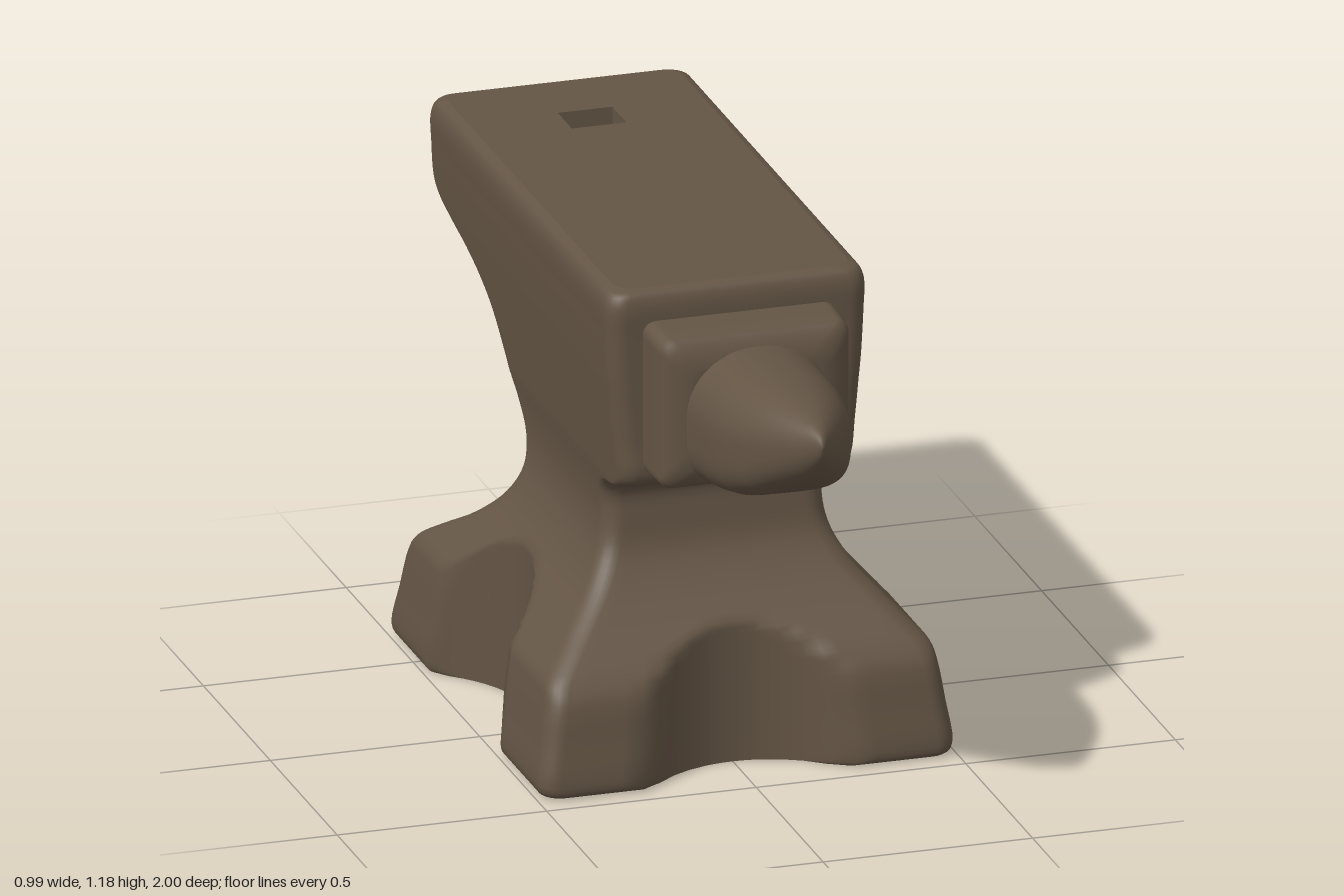
import * as THREE from 'three';

const V = (x, y, z) => new THREE.Vector3(x, y, z);
const HOLE = { x: 0.065, front: -0.675, back: -0.78, yFront: 0.86, yBack: 0.905 };

// Skin over a list of closed rings of equal length; skip(centre) leaves a quad open
function loft(rings, skip = () => false) {
  const n = rings[0].length, index = [];
  for (let i = 0; i < rings.length - 1; i++) {
    for (let j = 0; j < n; j++) {
      const k = (j + 1) % n;
      const mid = V(0, 0, 0);
      [rings[i][j], rings[i][k], rings[i + 1][k], rings[i + 1][j]].forEach(p => mid.addScaledVector(p, 0.25));
      if (skip(mid)) continue;
      const a = i * n + j, b = i * n + k, c = a + n, d = b + n;
      index.push(a, b, d, a, d, c);
    }
  }
  const g = new THREE.BufferGeometry().setFromPoints(rings.flat());
  g.setIndex(index);
  g.computeVertexNormals();
  return g;
}

// Counter-clockwise rounded rectangle, with edge points lined up on the hole sides
function outline(w, v0, v1, r) {
  const pts = [], cut = HOLE.x, e = w - r;
  const xs = [];
  [[-e, -cut], [-cut, cut], [cut, e]].forEach(([a, b]) => {
    for (let i = 0; i < 8; i++) xs.push(THREE.MathUtils.lerp(a, b, i / 8));
  });
  xs.push(e);
  const corner = (cx, cy, start) => {
    for (let i = 1; i < 6; i++) {
      const a = start + (i / 6) * Math.PI / 2;
      pts.push([cx + r * Math.cos(a), cy + r * Math.sin(a)]);
    }
  };
  const side = (x, a, b) => {
    for (let i = 0; i <= 44; i++) pts.push([x, THREE.MathUtils.lerp(a, b, i / 44)]);
  };
  xs.forEach(x => pts.push([x, v0]));
  corner(e, v0 + r, -Math.PI / 2);
  side(w, v0 + r, v1 - r);
  corner(e, v1 - r, 0);
  xs.slice().reverse().forEach(x => pts.push([x, v1]));
  corner(-e, v1 - r, Math.PI / 2);
  side(-w, v1 - r, v0 + r);
  corner(-e, v0 + r, Math.PI);
  return pts;
}

// Circular bite: allowed extent at distance d from the bite's middle
function bite(inner, half, depth, d) {
  if (Math.abs(d) >= half) return Infinity;
  const R = (half * half + depth * depth) / (2 * depth);
  return inner + R - Math.sqrt(R * R - d * d);
}

// Body levels: y, front z, back z, half width
const LEVELS = [
  [0.004, 0.43, -0.69, 0.465], [0.012, 0.45, -0.71, 0.487], [0.035, 0.455, -0.715, 0.495],
  [0.13, 0.442, -0.695, 0.482], [0.22, 0.427, -0.675, 0.468], [0.26, 0.405, -0.648, 0.458],
  [0.3, 0.37, -0.59, 0.425], [0.36, 0.31, -0.495, 0.37], [0.43, 0.252, -0.432, 0.312],
  [0.5, 0.212, -0.41, 0.277], [0.57, 0.2, -0.43, 0.264], [0.64, 0.2, -0.475, 0.268],
  [0.68, 0.245, -0.505, 0.274], [0.7, 0.33, -0.52, 0.277], [0.73, 0.37, -0.54, 0.28],
  [0.81, 0.372, -0.605, 0.288], [HOLE.yFront, 0.372, HOLE.front, 0.293], [HOLE.yBack, 0.372, HOLE.back, 0.297],
  [0.935, 0.372, -0.88, 0.3], [0.968, 0.372, -0.965, 0.303], [1.0, 0.372, -0.995, 0.305],
  [1.08, 0.372, -1, 0.309], [1.15, 0.372, -1, 0.31], [1.178, 0.362, -0.99, 0.3], [1.188, 0.342, -0.97, 0.28],
];

function bodyRings() {
  const zs = new THREE.CatmullRomCurve3(LEVELS.map(([y, f, b]) => V(f, y, b)));
  const ws = new THREE.CatmullRomCurve3(LEVELS.map(([y, , , w]) => V(w, y, 0)));
  const n = (LEVELS.length - 1) * 4, rings = [];
  for (let i = 0; i <= n; i++) {
    const p = zs.getPoint(i / n), w = ws.getPoint(i / n).x;
    rings.push(outline(w, -p.x, -p.z, 0.045).map(([x, v]) => {
      let z = -v;
      if (p.y < 0.45) {
        // bites between the four feet
        const lx = bite(0.338, 0.27, 0.155, z + 0.15);
        const lf = bite(0.325, 0.24, 0.13, x), lb = bite(0.585, 0.24, 0.13, x);
        x = THREE.MathUtils.clamp(x, -lx, lx);
        z = THREE.MathUtils.clamp(z, -lb, lf);
      }
      return V(x, p.y, z);
    }));
  }
  return rings;
}

// Horn stations: z, top y, bottom y, half width
const HORN = [
  [0.48, 1.08, 0.752, 0.178], [0.54, 1.08, 0.76, 0.168], [0.62, 1.081, 0.773, 0.164], [0.7, 1.08, 0.793, 0.156],
  [0.8, 1.077, 0.832, 0.131], [0.88, 1.068, 0.88, 0.092], [0.94, 1.056, 0.92, 0.054],
  [0.98, 1.043, 0.962, 0.024], [0.995, 1.03, 0.985, 0.011], [1.0, 1.01, 1.008, 0.001],
];

function hornGeometry() {
  const rings = HORN.map(([z, top, bottom, w]) => {
    const ring = [], cy = (top + bottom) / 2, h = (top - bottom) / 2;
    const square = THREE.MathUtils.smoothstep(w, 0.02, 0.15);
    for (let i = 0; i < 48; i++) {
      const a = (i / 48) * Math.PI * 2, c = Math.cos(a), s = Math.sin(a);
      // round on top, squarer below
      const e = s < 0 ? 1 - 0.45 * square : 1 - 0.1 * square;
      ring.push(V(w * Math.sign(c) * Math.abs(c) ** e, cy + h * Math.sign(s) * Math.abs(s) ** e, z));
    }
    return ring;
  });
  return loft(rings);
}

// Stepped block between the horn and the body: z, inset
function blockGeometry() {
  const steps = [[0.35, 0], [0.42, 0.001], [0.482, 0.004], [0.494, 0.012], [0.503, 0.026], [0.515, 0.05], [0.518, 0.075]];
  return loft(steps.map(([z, d]) => outline(0.23 - d, 0.744 + d, 1.116 - d, 0.03).map(([x, y]) => V(x, y, z))));
}

export function createModel() {
  const group = new THREE.Group();
  group.name = 'anvil';
  const iron = new THREE.MeshStandardMaterial({ color: 0x645545 });
  iron.name = 'dark iron';
  const add = (name, geometry) => {
    const mesh = new THREE.Mesh(geometry, iron);
    mesh.name = name;
    group.add(mesh);
    return mesh;
  };

  // Body with feet, waist and heel, open under the heel for the square hole
  const rings = bodyRings();
  add('body', loft(rings, p => Math.abs(p.x) < HOLE.x && p.z < HOLE.front && p.z > HOLE.back
    && p.y > HOLE.yFront - 0.001 && p.y < HOLE.yBack + 0.001));

  // Flat working face with the square hole
  const top = rings[rings.length - 1], yTop = top[0].y;
  const face = new THREE.Shape(top.map(p => new THREE.Vector2(p.x, -p.z)));
  const { x: hx, front, back, yFront, yBack } = HOLE;
  face.holes.push(new THREE.Path([[-hx, -front], [-hx, -back], [hx, -back], [hx, -front]]
    .map(([x, v]) => new THREE.Vector2(x, v))));
  add('face', new THREE.ShapeGeometry(face).rotateX(-Math.PI / 2).translate(0, yTop, 0));

  // Underside
  const sole = new THREE.Shape(rings[0].map(p => new THREE.Vector2(p.x, p.z)));
  add('sole', new THREE.ShapeGeometry(sole).rotateX(Math.PI / 2).translate(0, rings[0][0].y, 0));

  // Walls of the square hole, facing inward
  const holeRing = (yf, yb) => [V(-hx, yf, front), V(hx, yf, front), V(hx, yb, back), V(-hx, yb, back)];
  const walls = loft([holeRing(yTop, yTop), holeRing(yFront, yBack)]).toNonIndexed();
  walls.computeVertexNormals();
  add('squareHole', walls);

  add('hornBlock', blockGeometry());
  // Flat end of the block around the horn root
  const end = new THREE.Shape(outline(0.155, 0.819, 1.041, 0.03).map(([x, y]) => new THREE.Vector2(x, y)));
  add('hornBlockEnd', new THREE.ShapeGeometry(end).translate(0, 0, 0.518));
  add('horn', hornGeometry());
  return group;
}
